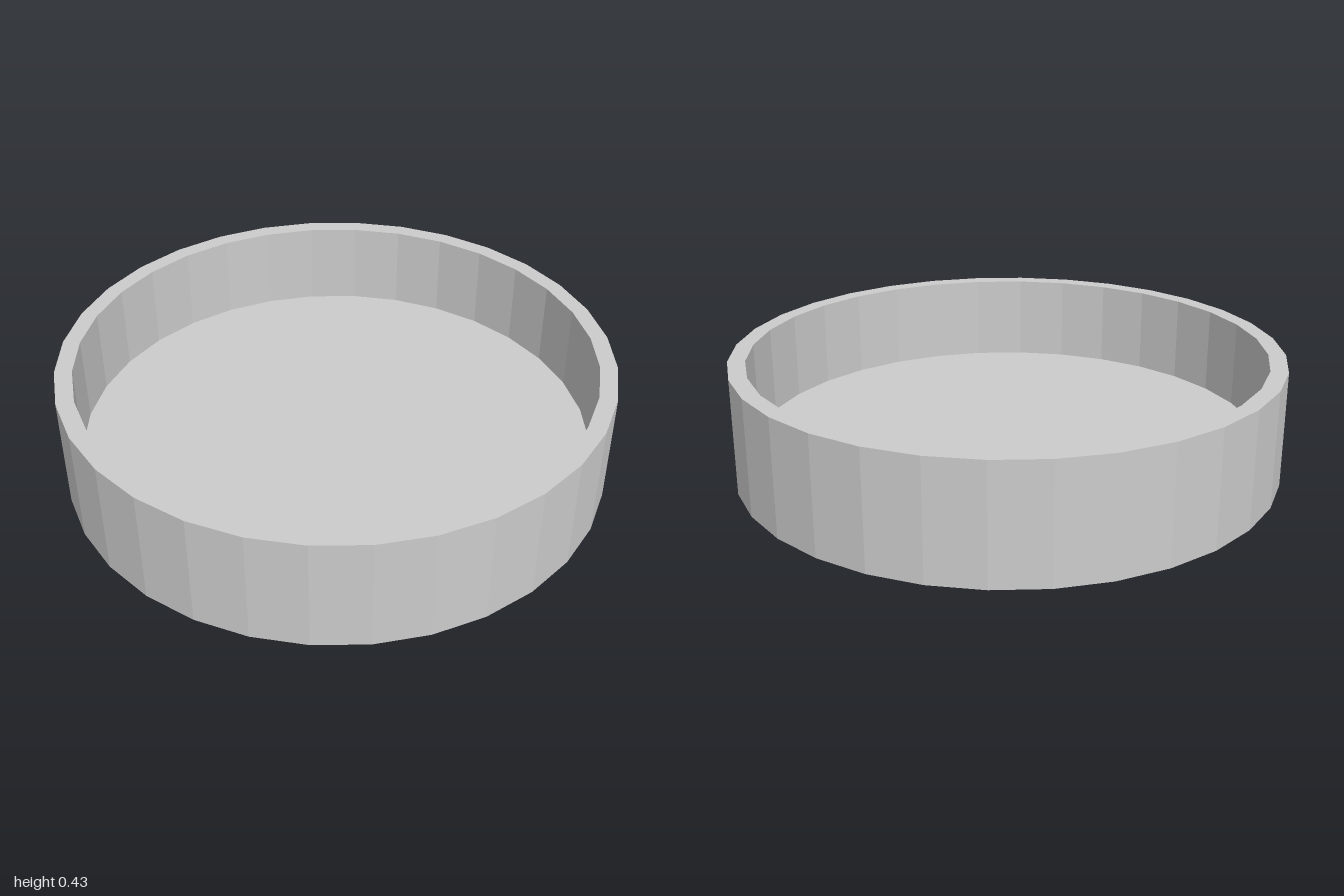
import * as THREE from 'three';

const SIDES = 32;
const RADIUS = 1;
const INNER_RADIUS = 0.937;
const HEIGHT = 0.425;
const FLOOR = 0.1;

export function createModel() {
  const group = new THREE.Group();
  group.name = 'roundTray';

  // Closed profile: underside, outer wall, rim, inner wall, floor
  const profile = [
    [0, 0],
    [RADIUS, 0],
    [RADIUS, HEIGHT],
    [INNER_RADIUS, HEIGHT],
    [INNER_RADIUS, FLOOR],
    [0, FLOOR],
  ].map(([x, y]) => new THREE.Vector2(x, y));

  const tray = new THREE.Mesh(
    new THREE.LatheGeometry(profile, SIDES),
    new THREE.MeshStandardMaterial({ color: 0xcccccc, flatShading: true })
  );
  tray.name = 'tray';
  group.add(tray);

  return group;
}
